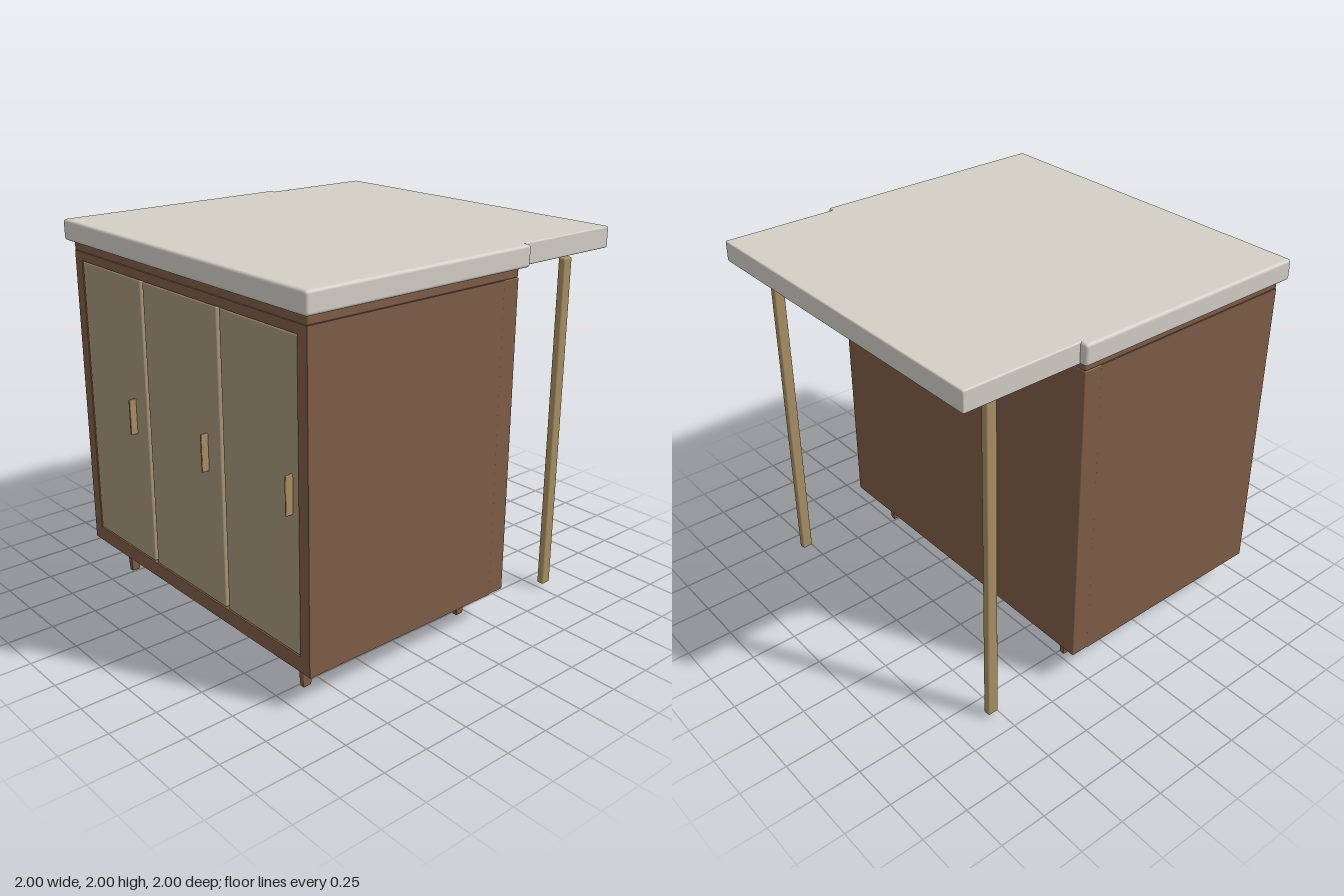
import * as THREE from 'three';
import { RoundedBoxGeometry } from 'three/addons/geometries/RoundedBoxGeometry.js';

const mat = (color) => new THREE.MeshStandardMaterial({ color });

export function createModel() {
  const group = new THREE.Group();
  const wood = mat(0x7d5d47), doorPaint = mat(0xa6957a);
  const brass = mat(0xa88f62), stone = mat(0xd2cfc7);

  const add = (name, geometry, material) => {
    const mesh = new THREE.Mesh(geometry, material);
    mesh.name = name;
    group.add(mesh);
    return mesh;
  };
  // Rounded block given by its minimum and maximum on each axis
  const block = (name, [x0, x1], [y0, y1], [z0, z1], r, material) => {
    const g = new RoundedBoxGeometry(x1 - x0, y1 - y0, z1 - z0, 3, r);
    g.translate((x0 + x1) / 2, (y0 + y1) / 2, (z0 + z1) / 2);
    return add(name, g, material);
  };
  const rect = (Type, x0, y0, x1, y1) => {
    const p = new Type();
    p.moveTo(x0, y0);
    p.lineTo(x1, y0);
    p.lineTo(x1, y1);
    p.lineTo(x0, y1);
    p.closePath();
    return p;
  };

  // Carcass: a surround open at the front, closed by a thick back
  const b = 0.006;
  const outline = rect(THREE.Shape, -0.96 + b, 0.18 + b, 0.96 - b, 1.84 - b);
  outline.holes.push(rect(THREE.Path, -0.89 - b, 0.262 - b, 0.89 + b, 1.79 + b));
  const surround = new THREE.ExtrudeGeometry(outline, {
    depth: 1.2 - 2 * b, bevelEnabled: true, bevelSize: b, bevelThickness: b, bevelSegments: 2,
  });
  surround.translate(0, 0, -0.235 + b);
  add('cabinetSurround', surround, wood);
  block('cabinetBack', [-0.96, 0.96], [0.18, 1.84], [-0.33, -0.225], 0.006, wood);
  block('cabinetCore', [-0.9, 0.9], [0.25, 1.8], [-0.3, 0.935], 0.002, wood);
  block('neckMoulding', [-0.96, 0.96], [1.838, 1.895], [-0.33, 0.965], 0.012, wood);

  // Three doors with slim pulls near their right edge
  const doors = [[-0.888, -0.335, -0.44], [-0.31, 0.308, 0.203], [0.332, 0.888, 0.845]];
  for (const [x0, x1, pull] of doors) {
    block('door', [x0, x1], [0.264, 1.788], [0.92, 0.962], 0.008, doorPaint);
    block('doorHandle', [pull - 0.006, pull + 0.006], [0.96, 1.153], [0.955, 1], 0.004, brass);
  }

  // Worktop with a narrower flap behind it
  block('worktop', [-1, 1], [1.89, 2], [-0.365, 1], 0.016, stone);
  block('rearFlap', [-0.96, 0.96], [1.89, 2], [-1, -0.34], 0.008, stone);

  for (const x of [-1, 1]) {
    // Posts below the flap
    block('flapPost', [x * 0.865 - 0.02, x * 0.865 + 0.02], [0.02, 1.855], [-0.82, -0.76], 0.009, brass);
    // Short tapered feet
    for (const z of [0.837, -0.203]) {
      const foot = new RoundedBoxGeometry(0.042, 0.19, 0.07, 2, 0.006);
      const p = foot.attributes.position;
      for (let i = 0; i < p.count; i++) {
        const s = 0.835 + 0.165 * (p.getY(i) / 0.095);
        p.setX(i, p.getX(i) * s);
        p.setZ(i, p.getZ(i) * s);
      }
      foot.translate(x * 0.772, 0.095, z);
      add('foot', foot, wood);
    }
  }
  return group;
}
